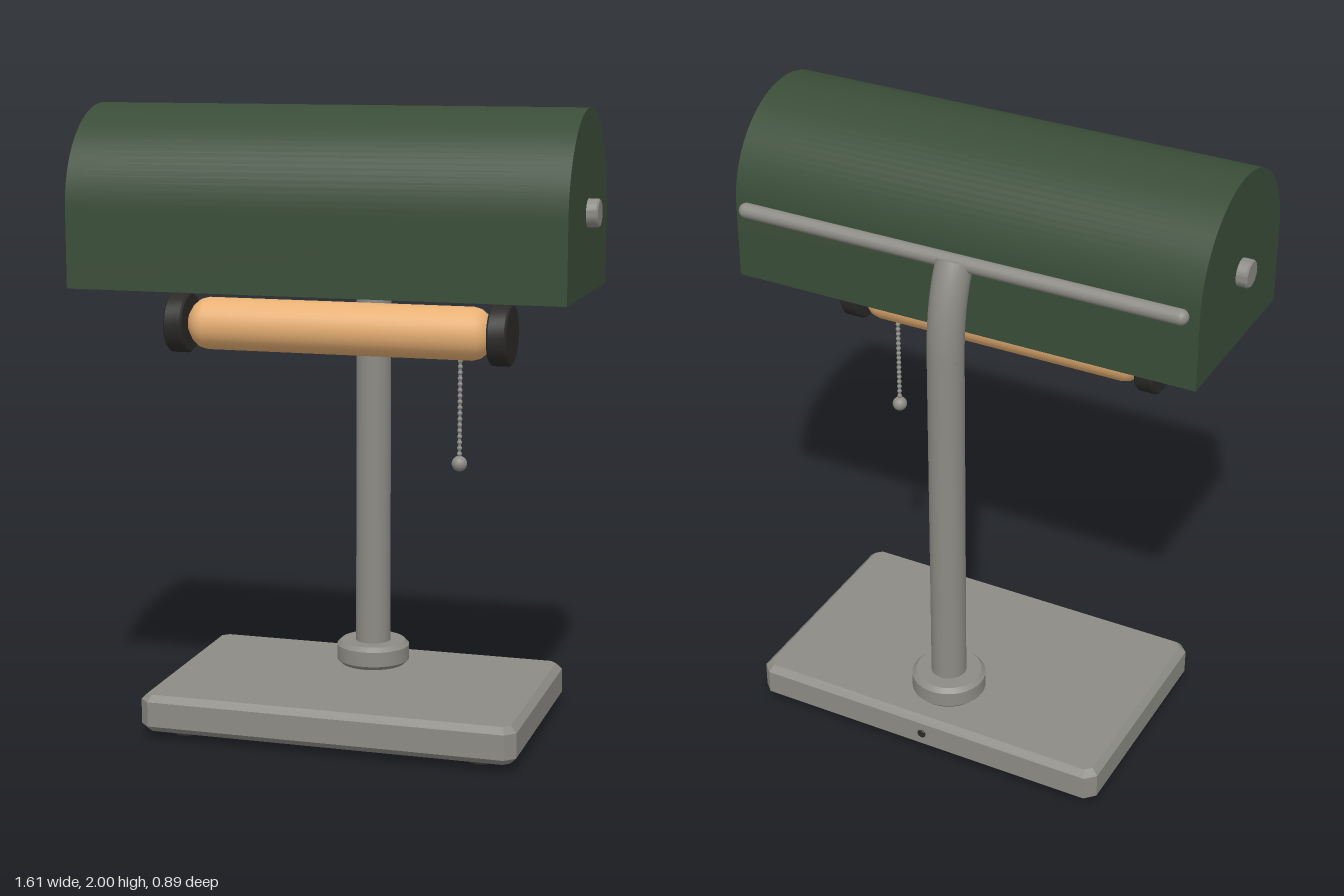
import * as THREE from 'three';
import { toCreasedNormals } from 'three/addons/utils/BufferGeometryUtils.js';

const mat = (color, side = THREE.FrontSide) => new THREE.MeshStandardMaterial({ color, side });

// Upright disc or rod with chamfered rims, centred on its own middle
function chamferedCylinder(r, h, c) {
  const p = [[0, -h / 2], [r - c, -h / 2], [r, -h / 2 + c], [r, h / 2 - c], [r - c, h / 2], [0, h / 2]];
  return toCreasedNormals(new THREE.LatheGeometry(p.map(([x, y]) => new THREE.Vector2(x, y)), 40), 0.5);
}

// Block with all edges chamfered, w along x, h along y, d along z
function chamferedBox(w, h, d, c) {
  const x = w / 2 - c, z = d / 2 - c, k = c;
  const s = new THREE.Shape([[-x + k, -z], [x - k, -z], [x, -z + k], [x, z - k], [x - k, z], [-x + k, z], [-x, z - k], [-x, -z + k]]
    .map(([a, b]) => new THREE.Vector2(a, b)));
  const g = new THREE.ExtrudeGeometry(s, { depth: h - 2 * c, bevelSize: c, bevelThickness: c, bevelSegments: 1 });
  return g.translate(0, 0, -(h - 2 * c) / 2).rotateX(-Math.PI / 2);
}

// Outline of the shade's end: straight sides below a half circle, inset by t
function archPoints(r, bottom) {
  const pts = [new THREE.Vector2(-r, bottom)];
  for (let i = 0; i <= 48; i++) {
    const a = Math.PI * (1 - i / 48);
    pts.push(new THREE.Vector2(r * Math.cos(a), r * Math.sin(a)));
  }
  pts.push(new THREE.Vector2(r, bottom));
  return pts;
}

// Extrude a profile along x, centred on x = 0
function extrudeX(shape, length) {
  const g = new THREE.ExtrudeGeometry(shape, { depth: length, bevelEnabled: false });
  return toCreasedNormals(g.translate(0, 0, -length / 2).rotateY(Math.PI / 2), 0.5);
}

export function createModel() {
  const model = new THREE.Group();
  const metal = mat(0x8c8b85), metalOpen = mat(0x8c8b85, THREE.DoubleSide), black = mat(0x2b2a29);
  const green = mat(0x3a4d38), cream = mat(0xd6c7a8, THREE.DoubleSide), amber = mat(0xe8b074);

  const add = (name, geometry, material, x = 0, y = 0, z = 0, parent = model) => {
    const m = new THREE.Mesh(geometry, material);
    m.name = name;
    m.position.set(x, y, z);
    parent.add(m);
    return m;
  };

  const poleZ = -0.25, shadeZ = 0.137, shadeY = 1.692, R = 0.308, L = 1.54, T = 0.015, drop = -0.242;

  // Base with feet and cord hole
  add('base', chamferedBox(1.22, 0.12, 0.77, 0.02), metal, 0, 0.085, -0.055);
  for (const x of [-0.485, 0.485])
    for (const z of [-0.345, 0.235]) add('foot', chamferedCylinder(0.04, 0.03, 0.006), black, x, 0.015, z);
  add('cordHole', chamferedCylinder(0.014, 0.008, 0.002).rotateX(Math.PI / 2), black, 0, 0.085, -0.44);

  // Collar and pole, leaning forward at the top to meet the shade
  add('collar', chamferedCylinder(0.12, 0.077, 0.014), metal, 0, 0.183, poleZ);
  add('pole', new THREE.CylinderGeometry(0.057, 0.057, 1.25, 32, 1, true), metal, 0, 0.775, poleZ);
  const bend = new THREE.QuadraticBezierCurve3(
    new THREE.Vector3(0, 1.4, poleZ), new THREE.Vector3(0, 1.58, poleZ), new THREE.Vector3(0, 1.687, -0.189));
  add('poleBend', new THREE.TubeGeometry(bend, 16, 0.057, 32), metalOpen);
  const cap = add('poleCap', new THREE.CircleGeometry(0.057, 32), metalOpen, 0, 1.687, -0.189);
  cap.lookAt(cap.position.clone().add(bend.getTangent(1)));

  // Shade: arched shell, end plates and pale lining, open underneath
  const shade = new THREE.Group();
  shade.name = 'shade';
  shade.position.set(0, shadeY, shadeZ);
  model.add(shade);
  const outer = archPoints(R, drop), inner = archPoints(R - T, drop);
  add('shadeShell', extrudeX(new THREE.Shape([...outer, ...inner.reverse()]), L), green, 0, 0, 0, shade);
  const lining = archPoints(R - T - 0.002, drop + 0.004);
  for (const s of [-1, 1]) {
    add('shadeEnd', extrudeX(new THREE.Shape(inner), T), green, s * (L - T) / 2, 0, 0, shade);
    add('liningEnd', new THREE.ShapeGeometry(new THREE.Shape(lining)).rotateY(Math.PI / 2), cream,
      s * (L / 2 - T - 0.002), 0, 0, shade);
    add('pivotKnob', chamferedCylinder(0.043, 0.04, 0.005).rotateZ(Math.PI / 2), metal, s * 0.785, 0, 0, shade);
  }
  const pos = [], index = [], half = L / 2 - T - 0.002;
  lining.forEach((p, i) => {
    pos.push(new THREE.Vector3(-half, p.y, -p.x), new THREE.Vector3(half, p.y, -p.x));
    if (i) index.push(2 * i - 2, 2 * i, 2 * i - 1, 2 * i - 1, 2 * i, 2 * i + 1);
  });
  const liningGeo = new THREE.BufferGeometry().setFromPoints(pos);
  liningGeo.setIndex(index);
  liningGeo.computeVertexNormals();
  add('lining', liningGeo, cream, 0, 0, 0, shade);

  // Rod along the back of the shade
  add('backRod', new THREE.CapsuleGeometry(0.024, 1.44, 8, 20).rotateZ(Math.PI / 2), metal, 0, shadeY, -0.191);

  // Tube bulb held between two sockets on short stems
  const bulb = [[0, -0.49], [0.035, -0.484], [0.06, -0.468], [0.076, -0.448], [0.082, -0.425]];
  const bulbProfile = [...bulb, ...bulb.map(([r, y]) => [r, -y]).reverse()].map(([r, y]) => new THREE.Vector2(r, y));
  add('bulb', new THREE.LatheGeometry(bulbProfile, 40).rotateZ(Math.PI / 2), amber, 0, 1.318, shadeZ);
  for (const s of [-1, 1]) {
    add('socket', chamferedCylinder(0.095, 0.062, 0.006).rotateZ(Math.PI / 2), black, s * 0.515, 1.318, shadeZ);
    add('socketStem', new THREE.CylinderGeometry(0.015, 0.015, 0.18, 16), metal, s * 0.525, 1.48, shadeZ);
  }

  // Beaded pull chain
  const chain = new THREE.Group();
  chain.name = 'pullChain';
  chain.position.set(0.385, 0, shadeZ);
  model.add(chain);
  add('chainCord', new THREE.CylinderGeometry(0.005, 0.005, 0.34, 8), metal, 0, 1.09, 0, chain);
  for (let y = 0.945; y < 1.25; y += 0.018) add('chainBead', new THREE.SphereGeometry(0.008, 10, 8), metal, 0, y, 0, chain);
  add('chainBall', new THREE.SphereGeometry(0.024, 20, 14), metal, 0, 0.915, 0, chain);

  return model;
}
